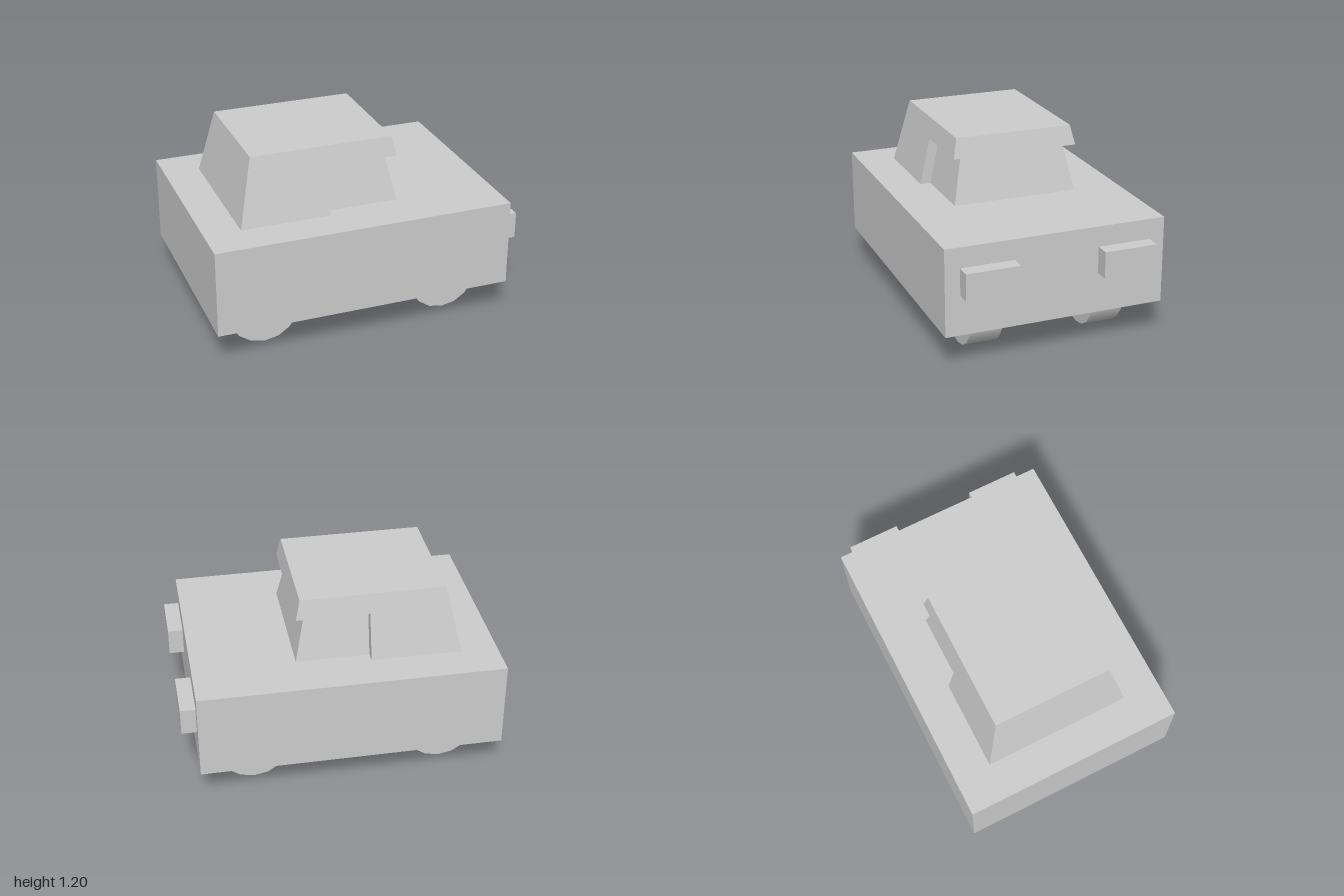
import * as THREE from 'three';

const material = new THREE.MeshStandardMaterial({ color: 0xcccccc });

function addMesh(parent, name, geometry, x = 0, y = 0, z = 0) {
  const mesh = new THREE.Mesh(geometry, material);
  mesh.name = name;
  mesh.position.set(x, y, z);
  parent.add(mesh);
  return mesh;
}

// Side profile in x/y, extruded across z with walls leaning inwards towards the roof
function taperedBlock(points, halfWidthAt) {
  const shape = new THREE.Shape(points.map(([x, y]) => new THREE.Vector2(x, y)));
  const geometry = new THREE.ExtrudeGeometry(shape, { depth: 1, bevelEnabled: false });
  const pos = geometry.attributes.position;
  for (let i = 0; i < pos.count; i++) {
    const side = pos.getZ(i) > 0.5 ? 1 : -1;
    pos.setZ(i, side * halfWidthAt(pos.getY(i)));
  }
  geometry.computeVertexNormals();
  return geometry;
}

export function createModel() {
  const car = new THREE.Group();
  car.name = 'toyCar';

  // Main body, nose towards +x
  addMesh(car, 'body', new THREE.BoxGeometry(1.905, 0.555, 1.41), -0.0475, 0.4975, 0);

  // Cab shell: full-height rear with a roof reaching forward
  const shellHalfWidth = (y) => 0.38 + 0.216 * (1.2 - y);
  addMesh(car, 'cabShell', taperedBlock([
    [-0.77, 0.775], [-0.2, 0.775], [-0.2, 1.075],
    [0.257, 1.075], [0.23, 1.2], [-0.675, 1.2],
  ], shellHalfWidth));

  // Inset front of the cab, under the roof
  addMesh(car, 'cabWindows', taperedBlock([
    [-0.25, 0.775], [0.262, 0.775], [0.197, 1.075], [-0.25, 1.075],
  ], (y) => shellHalfWidth(y) - 0.066));

  // Headlights and wheels, mirrored left and right
  const lightGeometry = new THREE.BoxGeometry(0.095, 0.17, 0.34);
  const wheelGeometry = new THREE.CylinderGeometry(0.23, 0.23, 0.208, 16).rotateX(Math.PI / 2);
  for (const side of [-1, 1]) {
    addMesh(car, 'headlight', lightGeometry, 0.9525, 0.56, side * 0.44);
    addMesh(car, 'rearWheel', wheelGeometry, -0.65, 0.23, side * 0.4);
    addMesh(car, 'frontWheel', wheelGeometry, 0.555, 0.23, side * 0.4);
  }
  return car;
}
